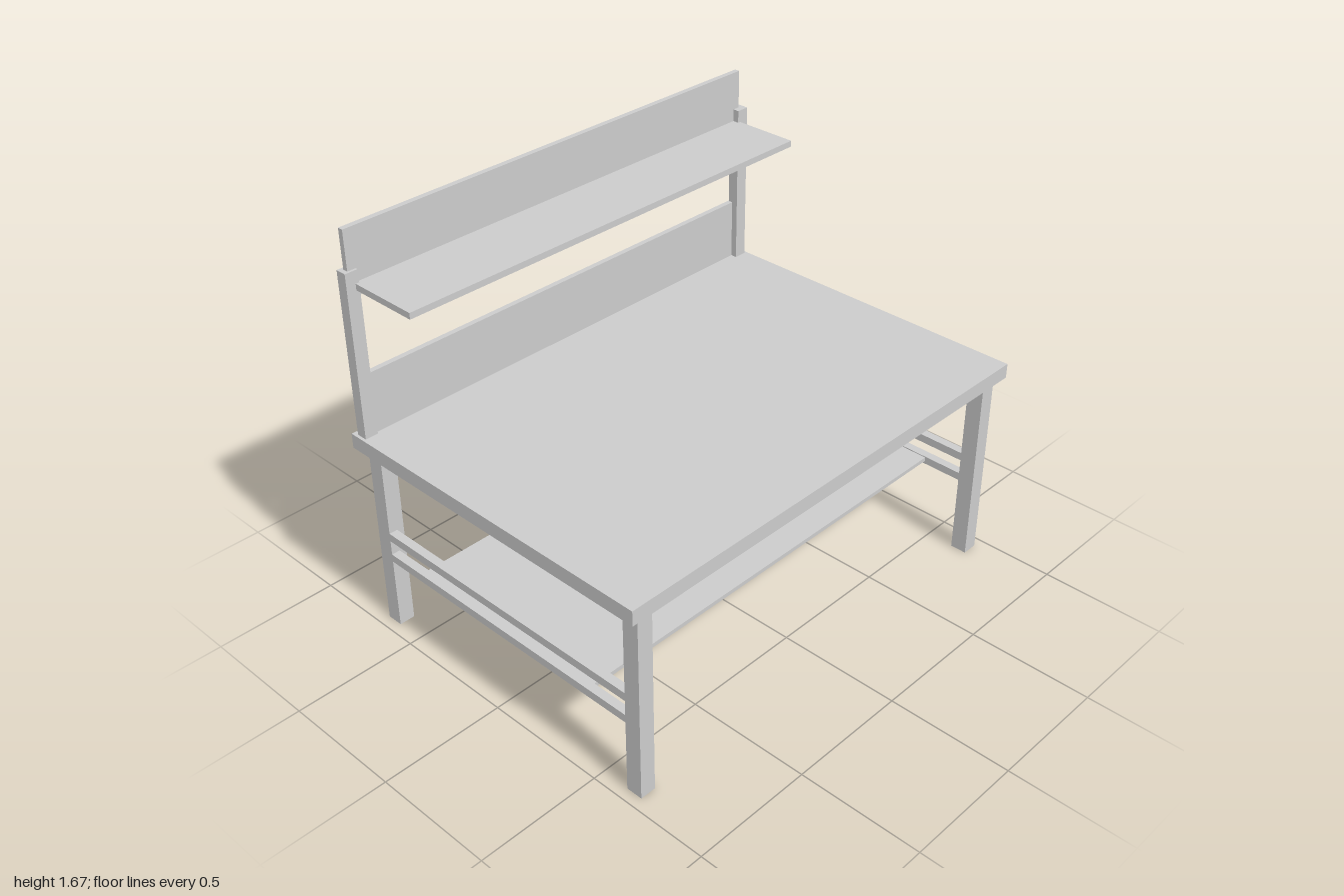
import * as THREE from 'three';

const material = new THREE.MeshStandardMaterial({ color: 0xcccccc, flatShading: true });

// Box given by its [min, max] range on each axis
function board(name, [x0, x1], [y0, y1], [z0, z1]) {
  const mesh = new THREE.Mesh(new THREE.BoxGeometry(x1 - x0, y1 - y0, z1 - z0), material);
  mesh.name = name;
  mesh.position.set((x0 + x1) / 2, (y0 + y1) / 2, (z0 + z1) / 2);
  return mesh;
}

// Range reflected to the negative side when sign is -1
const side = (sign, a, b) => (sign > 0 ? [a, b] : [-b, -a]);

export function createModel() {
  const bench = new THREE.Group();
  bench.name = 'workbench';

  // Worktop and the shelf between the side rails
  bench.add(board('worktop', [-1, 1], [0.793, 0.853], [-0.707, 0.707]));
  bench.add(board('lowerShelf', [-0.95, 0.95], [0.314, 0.331], [-0.45, 0.43]));

  for (const s of [1, -1]) {
    const label = s > 0 ? 'left' : 'right';

    // Legs and the two rails joining them
    bench.add(board(label + 'FrontLeg', side(s, 0.89, 0.955), [0, 0.793], [0.615, 0.682]));
    bench.add(board(label + 'BackLeg', side(s, 0.89, 0.955), [0, 0.793], [-0.682, -0.615]));
    bench.add(board(label + 'LowerRail', side(s, 0.92, 0.955), [0.302, 0.335], [-0.615, 0.615]));
    bench.add(board(label + 'UpperRail', side(s, 0.92, 0.955), [0.397, 0.431], [-0.615, 0.615]));

    // Uprights, set at slightly different depths
    const depth = s > 0 ? [-0.669, -0.624] : [-0.685, -0.64];
    bench.add(board(label + 'Upright', side(s, 0.935, 0.988), [0.853, 1.512], depth));
  }

  // Back panels and the overhead shelf
  bench.add(board('lowerBackPanel', [-0.97, 0.965], [0.853, 1.1], [-0.672, -0.65]));
  bench.add(board('upperBackPanel', [-0.97, 0.965], [1.41, 1.667], [-0.672, -0.65]));
  bench.add(board('overheadShelf', [-0.95, 0.947], [1.437, 1.462], [-0.65, -0.353]));

  return bench;
}
